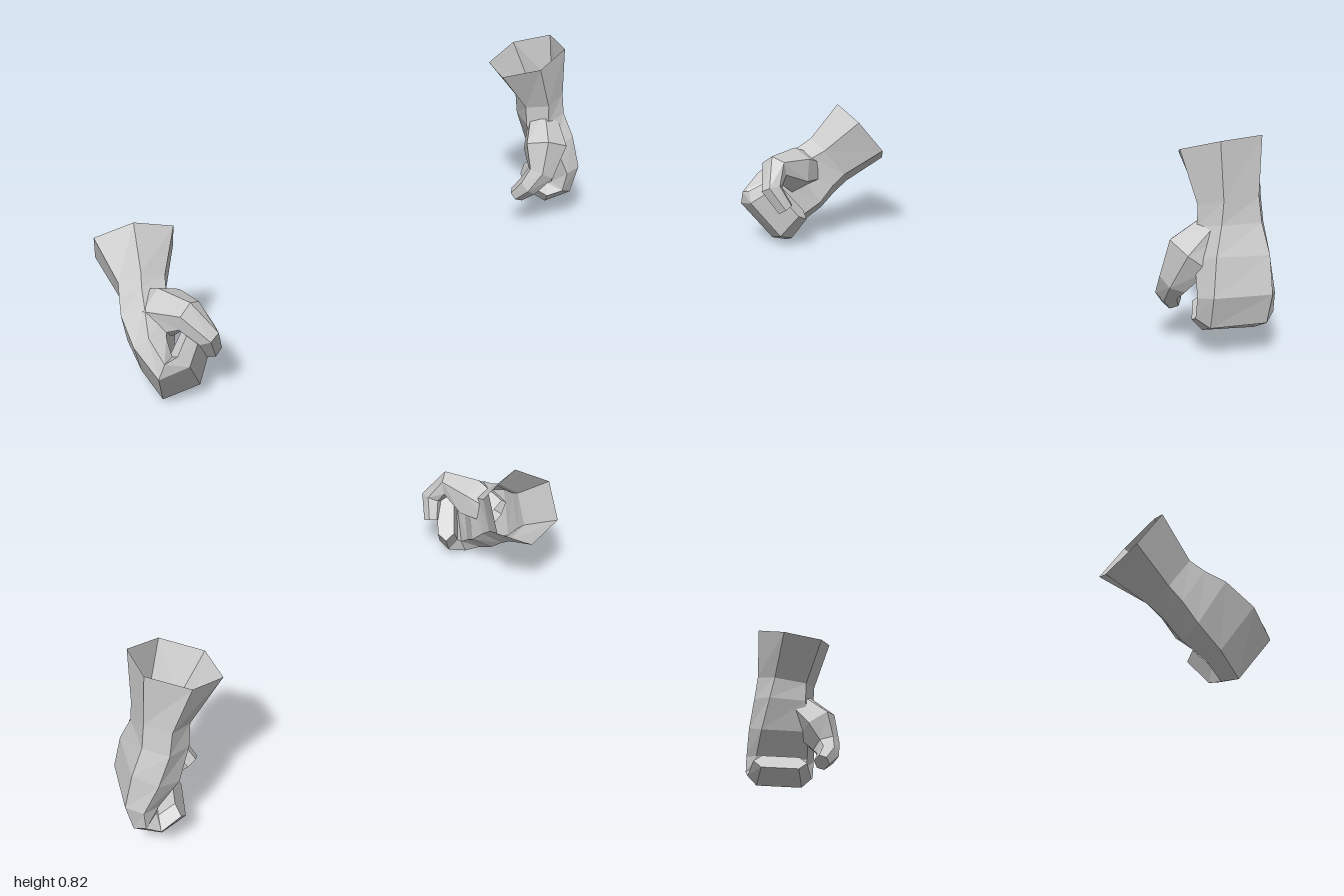
import * as THREE from 'three';

const material = new THREE.MeshStandardMaterial({
  color: 0xcccccc, flatShading: true, side: THREE.DoubleSide,
});

// Sweeps a six-sided section along stations [x, y, z, halfWidth, halfThickness, squareness].
// The width direction turns from sideStart to sideEnd; the start stays open, the end is capped.
function sweep(name, stations, sideStart, sideEnd) {
  const from = new THREE.Vector3(...sideStart), to = new THREE.Vector3(...sideEnd);
  const centres = stations.map(s => new THREE.Vector3(s[0], s[1], s[2]));
  const last = centres.length - 1;
  const pos = [], index = [];
  stations.forEach(([, , , w, t, k], i) => {
    const before = centres[Math.max(i - 1, 0)], after = centres[Math.min(i + 1, last)];
    const T = after.clone().sub(before).normalize();
    const V = from.clone().lerp(to, i / last);
    V.addScaledVector(T, -V.dot(T)).normalize();
    const N = T.clone().cross(V);
    const section = [[1, 0], [k, 1], [-k, 1], [-1, 0], [-k, -1], [k, -1]];
    for (const [a, b] of section) {
      const p = centres[i].clone().addScaledVector(V, a * w).addScaledVector(N, b * t);
      pos.push(p.x, p.y, p.z);
    }
    if (i === last) return;
    for (let j = 0; j < 6; j++) {
      const a = i * 6 + j, b = i * 6 + (j + 1) % 6;
      index.push(a, b, b + 6, a, b + 6, a + 6);
    }
  });
  for (let j = 1; j < 5; j++) index.push(last * 6, last * 6 + j, last * 6 + j + 1);
  const geometry = new THREE.BufferGeometry();
  geometry.setAttribute('position', new THREE.Float32BufferAttribute(pos, 3));
  geometry.setIndex(index);
  const flat = geometry.toNonIndexed();
  flat.computeVertexNormals();
  const mesh = new THREE.Mesh(flat, material);
  mesh.name = name;
  return mesh;
}

// Section sizes from the flared cuff to the curled fingertips
const handSizes = [
  [0.168, 0.152, 0.52], [0.132, 0.088, 0.55], [0.135, 0.088, 0.6], [0.15, 0.092, 0.7],
  [0.152, 0.062, 0.75], [0.15, 0.05, 0.72], [0.142, 0.045, 0.7], [0.118, 0.038, 0.7],
];
// Section sizes from the buried thumb root to the blunt tip
const thumbSizes = [
  [0.06, 0.06, 0.5], [0.105, 0.085, 0.5], [0.065, 0.052, 0.5], [0.048, 0.042, 0.5], [0.038, 0.03, 0.55],
];

function makeHand(name, handPath, cuffSide, fingerSide, thumbPath, thumbSide) {
  const hand = new THREE.Group();
  hand.name = name;
  const join = (path, sizes) => path.map((p, i) => [...p, ...sizes[i]]);
  hand.add(sweep('wristAndFingers', join(handPath, handSizes), cuffSide, fingerSide));
  hand.add(sweep('thumb', join(thumbPath, thumbSizes), thumbSide, thumbSide));
  return hand;
}

export function createModel() {
  const model = new THREE.Group();
  model.name = 'pairOfHands';

  // Hand hanging down, palm turned inward
  model.add(makeHand('leftHand',
    [[0.755, 0.775, -0.79], [0.822, 0.58, -0.815], [0.832, 0.49, -0.82], [0.877, 0.37, -0.82],
      [0.935, 0.25, -0.822], [0.925, 0.17, -0.822], [0.865, 0.138, -0.82], [0.785, 0.18, -0.82]],
    [0.26, 0, 0.97], [0, 0, 1],
    [[0.835, 0.49, -0.775], [0.845, 0.385, -0.67], [0.825, 0.28, -0.62], [0.77, 0.22, -0.612],
      [0.725, 0.165, -0.64]],
    [0.83, -0.3, -0.46]));

  // Hand reaching forward and down, thumb on top
  model.add(makeHand('rightHand',
    [[-0.855, 0.467, 0.403], [-0.812, 0.35, 0.55], [-0.8, 0.31, 0.605], [-0.778, 0.262, 0.675],
      [-0.75, 0.195, 0.782], [-0.695, 0.132, 0.85], [-0.63, 0.155, 0.825], [-0.597, 0.23, 0.745]],
    [0.1, 0.83, 0.55], [-0.1, 0.79, 0.6],
    [[-0.8, 0.31, 0.61], [-0.71, 0.335, 0.715], [-0.61, 0.37, 0.8], [-0.545, 0.295, 0.815],
      [-0.535, 0.205, 0.76]],
    [0.5, 0.6, -0.7]));

  return model;
}
